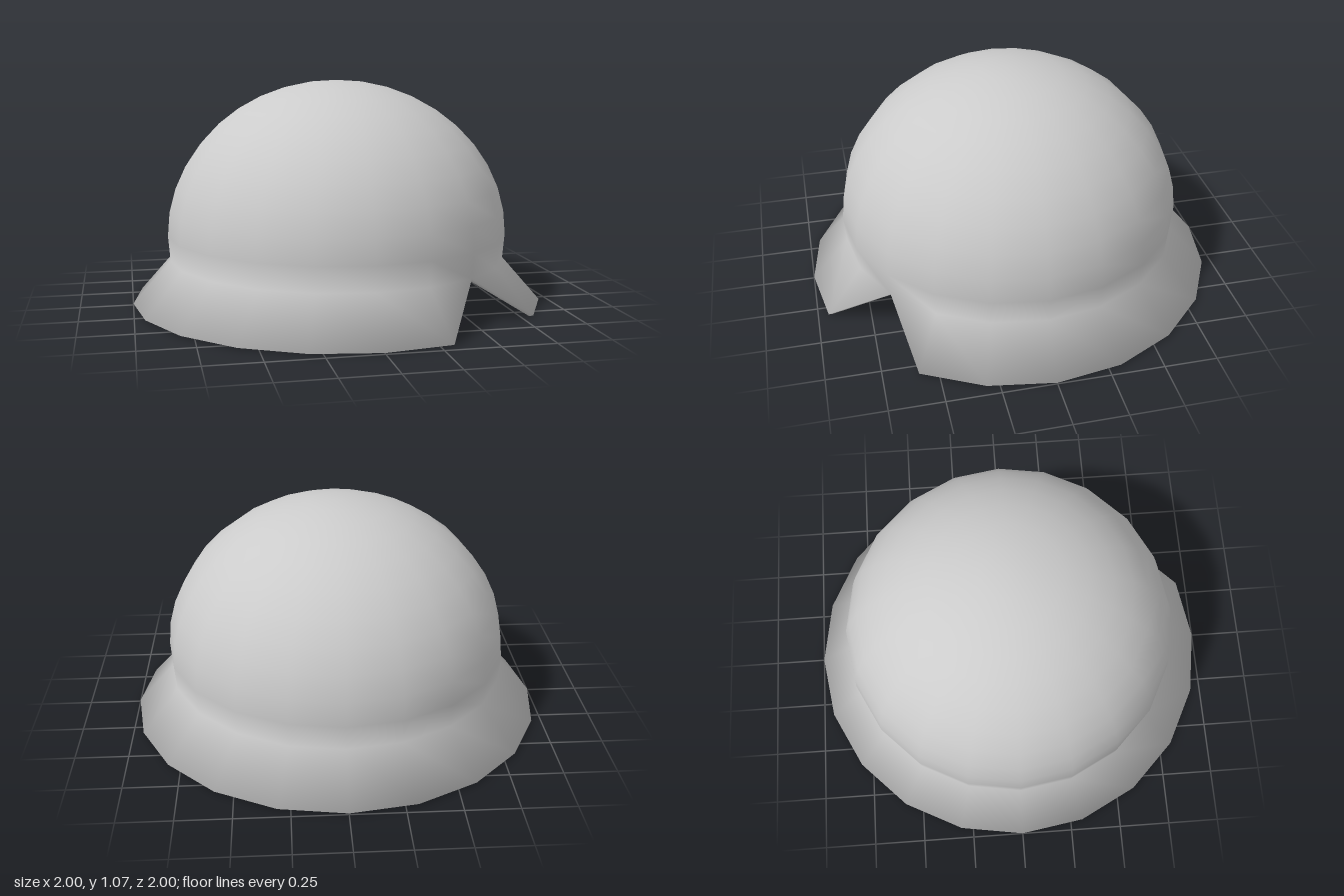
import * as THREE from 'three';
import { mergeVertices } from 'three/addons/utils/BufferGeometryUtils.js';

const SIDES = 20;
const NOTCH = 2;          // index of the side line where the brim is cut
const DOME_RINGS = 10;

// Smooth normals in which every face around a corner counts the same
function evenNormals(geometry) {
  const { position } = geometry.attributes;
  const index = geometry.index.array;
  const sums = Array.from({ length: position.count }, () => new THREE.Vector3());
  const [a, b, c] = [0, 1, 2].map(() => new THREE.Vector3());
  for (let i = 0; i < index.length; i += 3) {
    [a, b, c].forEach((v, k) => v.fromBufferAttribute(position, index[i + k]));
    const n = new THREE.Triangle(a, b, c).getNormal(new THREE.Vector3());
    for (let k = 0; k < 3; k++) sums[index[i + k]].add(n);
  }
  const normals = sums.flatMap((n) => n.normalize().toArray());
  geometry.setAttribute('normal', new THREE.Float32BufferAttribute(normals, 3));
}

export function createModel() {
  const group = new THREE.Group();
  group.name = 'helmet';

  // Profile: open inner lip, inner cone, thin rim, flared brim, dome
  const profile = [
    [0.505, 0.601],
    [0.982, 0], [1, 0.006],
    [0.818, 0.212],
  ].map(([r, y]) => new THREE.Vector2(r, y));
  for (let i = 0; i <= DOME_RINGS; i++) {
    const a = (i / DOME_RINGS) * Math.PI / 2;
    profile.push(new THREE.Vector2(i === DOME_RINGS ? 0 : 0.828 * Math.cos(a), 0.33 + 0.743 * Math.sin(a)));
  }

  const lathe = new THREE.LatheGeometry(profile, SIDES);

  // Lift the rim on one side line up to the dome's foot to make the V-shaped notch
  const pos = lathe.attributes.position;
  const angle = (NOTCH / SIDES) * Math.PI * 2;
  [[1, 0.8, 0.204], [2, 0.818, 0.212]].forEach(([ring, r, y]) => {
    pos.setXYZ(NOTCH * profile.length + ring, r * Math.sin(angle), y, r * Math.cos(angle));
  });

  // Weld the seam and the notch tip so the whole shell shades smoothly
  lathe.deleteAttribute('uv');
  lathe.deleteAttribute('normal');
  const geometry = mergeVertices(lathe, 1e-4);
  evenNormals(geometry);

  const material = new THREE.MeshStandardMaterial({ color: 0xcccccc, side: THREE.DoubleSide });
  const shell = new THREE.Mesh(geometry, material);
  shell.name = 'helmetShell';
  group.add(shell);
  return group;
}
